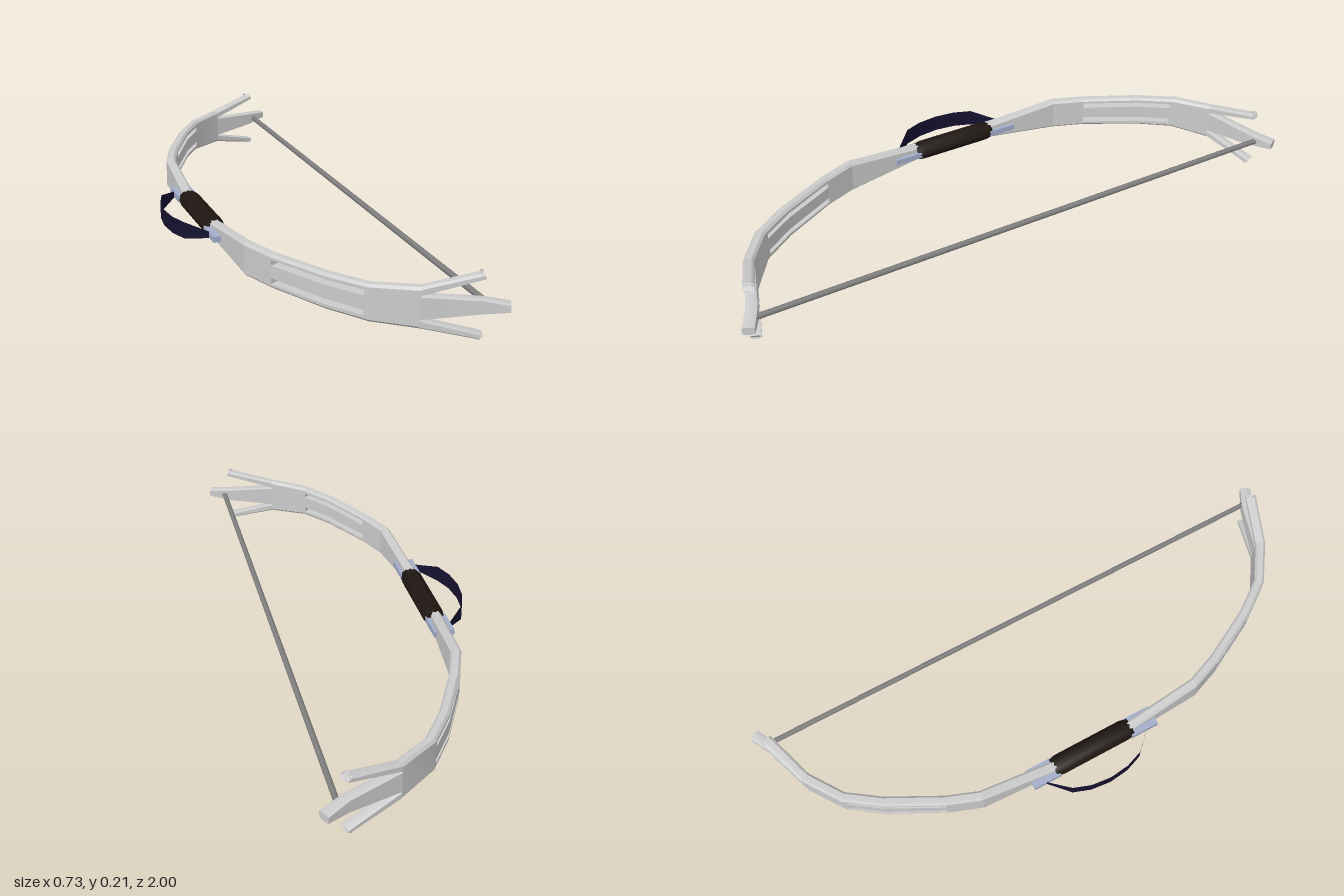
import * as THREE from 'three';
import { toCreasedNormals, mergeGeometries } from 'three/addons/utils/BufferGeometryUtils.js';

const MID = 0.1065; // height of the bow's centre line

// Limb centre line: [z, x, half thickness]
const KNOTS = [
  [0.13, -0.235, 0.018], [0.41, -0.214, 0.017], [0.52, -0.172, 0.017], [0.70, -0.077, 0.017],
  [0.81, 0.002, 0.017], [0.89, 0.12, 0.017], [0.945, 0.285, 0.018], [0.983, 0.356, 0.019],
];
const OFFSETS = KNOTS.map(([, , h], i) => {
  const a = KNOTS[Math.max(i - 1, 0)], b = KNOTS[Math.min(i + 1, KNOTS.length - 1)];
  return new THREE.Vector2(b[0] - a[0], a[1] - b[1]).normalize().multiplyScalar(h); // (x, z)
});

// Point on the limb at path position z, n = -1 (back) to 1 (belly)
function limbPoint(z, n, y) {
  let i = 0;
  while (i < KNOTS.length - 2 && z > KNOTS[i + 1][0]) i++;
  const t = (z - KNOTS[i][0]) / (KNOTS[i + 1][0] - KNOTS[i][0]);
  const o = OFFSETS[i].clone().lerp(OFFSETS[i + 1], t);
  return [THREE.MathUtils.lerp(KNOTS[i][1], KNOTS[i + 1][1], t) + o.x * n, y, z + o.y * n];
}

// Bent bar between two path positions; [low, high] at each end, skew slants the far end
function strip(z0, z1, from, to, cLow, cHigh, skew = 0) {
  const zs = [z0, ...KNOTS.map(k => k[0]).filter(z => z > z0 + 0.001 && z < z1 - 0.001), z1];
  const rings = zs.map((z, i) => {
    const t = (z - z0) / (z1 - z0);
    const lo = THREE.MathUtils.lerp(from[0], to[0], t), hi = THREE.MathUtils.lerp(from[1], to[1], t);
    const last = i === zs.length - 1;
    const zLow = last && skew < 0 ? z + skew : z, zHigh = last && skew > 0 ? z - skew : z;
    const k = 0.55;
    return [
      [zLow, cLow ? k : 1, lo], [zLow, 1, lo + cLow], [zHigh, 1, hi - cHigh], [zHigh, cHigh ? k : 1, hi],
      [zHigh, cHigh ? -k : -1, hi], [zHigh, -1, hi - cHigh], [zLow, -1, lo + cLow], [zLow, cLow ? -k : -1, lo],
    ].map(p => limbPoint(...p));
  });
  const pos = [];
  const tri = (a, b, c) => pos.push(...a, ...b, ...c);
  for (let i = 0; i < rings.length - 1; i++) for (let j = 0; j < 8; j++) {
    const k = (j + 1) % 8, p = rings[i], q = rings[i + 1];
    tri(p[j], p[k], q[k]);
    tri(p[j], q[k], q[j]);
  }
  const first = rings[0], end = rings[rings.length - 1];
  for (let j = 1; j < 7; j++) {
    tri(first[0], first[j + 1], first[j]);
    tri(end[0], end[j], end[j + 1]);
  }
  const g = new THREE.BufferGeometry();
  g.setAttribute('position', new THREE.Float32BufferAttribute(pos, 3));
  return toCreasedNormals(g, 0.5);
}

// Thin strap looping in front of the grip: [x, z, half width]
function strapGeometry() {
  const half = [[-0.363, 0, 0.029], [-0.355, 0.07, 0.029], [-0.333, 0.13, 0.029], [-0.258, 0.205, 0.008]];
  const path = [...half.slice(1).reverse().map(([x, z, h]) => [x, -z, h]), ...half];
  const pos = [], index = [];
  path.forEach(([x, z, h], i) => {
    pos.push(x, -h, z, x, h, z);
    const a = i * 2;
    if (i) index.push(a - 2, a, a + 1, a - 2, a + 1, a - 1);
  });
  const g = new THREE.BufferGeometry();
  g.setAttribute('position', new THREE.Float32BufferAttribute(pos, 3));
  g.setIndex(index);
  g.computeVertexNormals();
  return g;
}

export function createModel() {
  const group = new THREE.Group();
  const bow = new THREE.Group();
  bow.name = 'bow';
  bow.position.y = MID;
  group.add(bow);

  const add = (parent, name, geometry, color, options = {}) => {
    const mesh = new THREE.Mesh(geometry, new THREE.MeshStandardMaterial({ color, ...options }));
    mesh.name = name;
    parent.add(mesh);
    return mesh;
  };

  for (const side of ['left', 'right']) {
    const limb = new THREE.Group();
    limb.name = side + 'Limb';
    if (side === 'right') limb.rotation.x = Math.PI; // far limb is the same part turned over
    bow.add(limb);

    // Solid root and shoulder, with slotted rails between them
    const c = 0.008;
    add(limb, 'limbBody', mergeGeometries([
      strip(0.13, 0.41, [-0.025, 0.025], [-0.055, 0.055], c, c),
      strip(0.41, 0.52, [-0.055, 0.055], [-0.055, 0.055], c, c),
      strip(0.52, 0.80, [-0.055, -0.0395], [-0.058, -0.0395], c, 0),
      strip(0.52, 0.80, [-0.0205, 0.0205], [-0.023, 0.023], 0, 0),
      strip(0.52, 0.80, [0.0395, 0.055], [0.0395, 0.058], 0, c),
      strip(0.80, 0.89, [-0.058, 0.058], [-0.0645, 0.0645], c, c),
    ]), 0xcccccc);

    // Three-pronged tip
    add(limb, 'centreProng', strip(0.89, 0.983, [-0.038, 0.038], [-0.0135, 0.0135], 0.003, 0.003), 0xcccccc);
    add(limb, 'upperProng', strip(0.89, 0.948, [0.037, 0.0645], [0.0865, 0.1065], 0.003, 0.006, 0.006), 0xcccccc);
    add(limb, 'lowerProng', strip(0.89, 0.948, [-0.0645, -0.037], [-0.1065, -0.0865], 0.006, 0.003, -0.006), 0xcccccc);

    // Clip passing through the limb beside the grip
    add(limb, 'clip', new THREE.BoxGeometry(0.07, 0.02, 0.1), 0xa4aecb).position.set(-0.235, 0, 0.188);
  }

  // Wrapped grip, an oval barrel with slightly tapered ends
  const profile = [[0, -0.15], [0.85, -0.15], [1, -0.125], [1, 0.125], [0.85, 0.15], [0, 0.15]];
  const gripGeometry = new THREE.LatheGeometry(profile.map(p => new THREE.Vector2(...p)), 12);
  gripGeometry.rotateX(Math.PI / 2).scale(0.037, 0.031, 1);
  add(bow, 'grip', toCreasedNormals(gripGeometry, 0.6), 0x1e1611).position.x = -0.233;

  add(bow, 'handStrap', strapGeometry(), 0x15112f, { side: THREE.DoubleSide });

  // Bowstring
  const string = new THREE.CylinderGeometry(0.0095, 0.0095, 1.9, 8).rotateX(Math.PI / 2);
  add(bow, 'bowstring', string, 0x808080).position.x = 0.308;

  return group;
}
